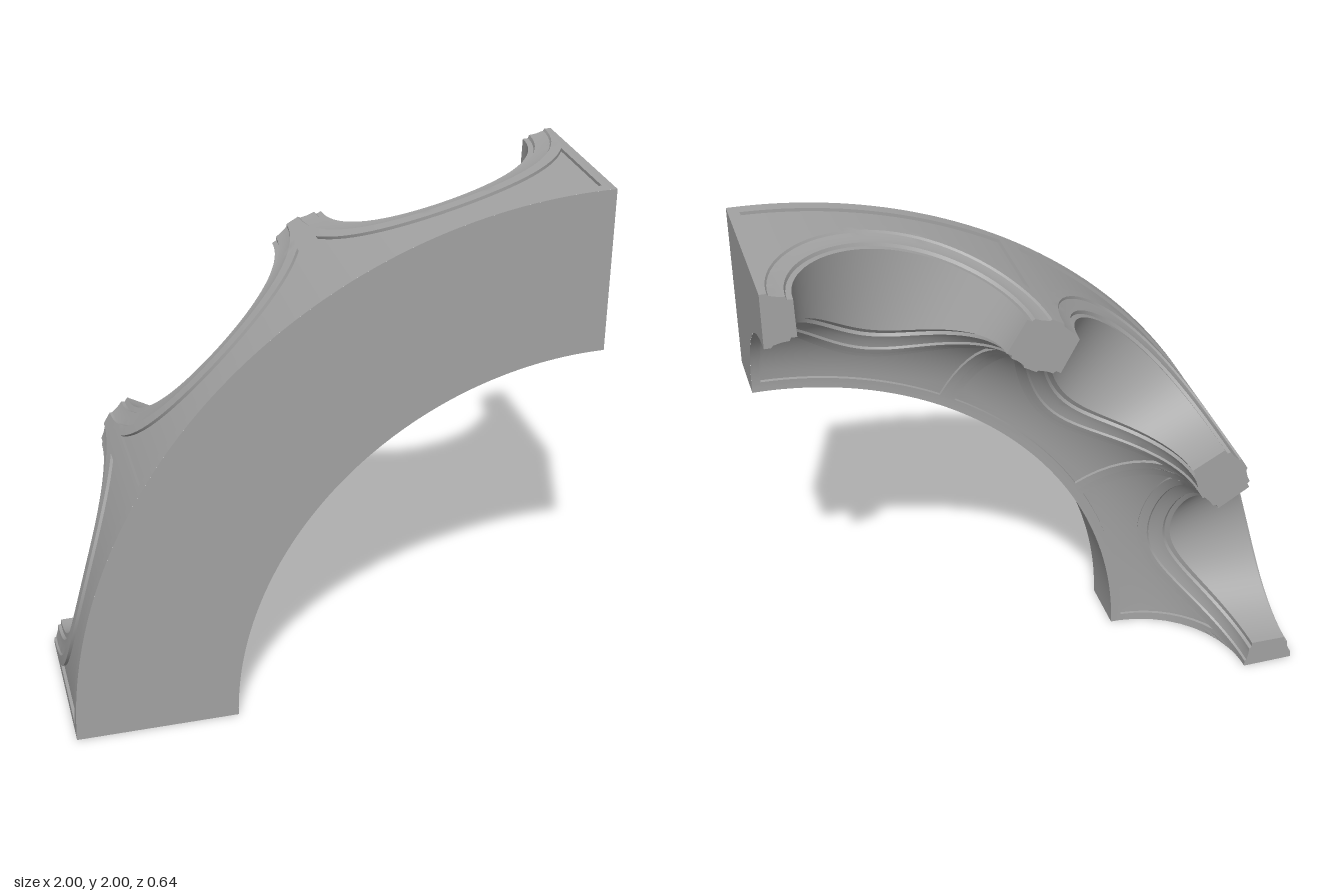
import * as THREE from 'three';
import { toCreasedNormals } from 'three/addons/utils/BufferGeometryUtils.js';

// Quarter-ring arcade: axis at x = 1, y = 0; three arched bays of 30 degrees
const R_OUT = 2, R_IN = 1.38, Z_BACK = -0.32, Z_FRONT = 0.32;
const VAULT = 0.42;              // radius of the vault on the inner side
const BAY = Math.PI / 12;        // half angle of one bay
const PIER = 0.11;               // half thickness of a pier
const RISE = 0.355;              // height of the arch opening
const RECESS = 0.012;
const N = 40;
// Arch moulding: distance from the opening, depth below the face
const MOULD = [[0, 0.03], [0.02, 0.03], [0.025, 0.018], [0.05, 0.016], [0.08, 0.008], [0.085, 0], [PIER, 0]];

const polar = (a, r, z) => [1 - r * Math.cos(a), r * Math.sin(a), z];
// Points on the outer wall and on the vault, sunk by depth
const outerPoint = (a, h, depth) => polar(a, R_OUT - depth, Z_BACK + h);
const vaultPoint = (a, s, depth) => {
  const f = s / VAULT, q = VAULT + depth;
  return polar(a, R_IN + q * Math.cos(f), Z_BACK + q * Math.sin(f));
};

// Height of the curve at distance d from the opening, for each side
const outerHeight = (sin, d) => (RISE + d) * sin;
const vaultHeight = (sin, d) => VAULT * Math.asin(RISE * sin / (VAULT + 0.03)) + d * sin;

const OUTER = { point: outerPoint, height: outerHeight, r: R_OUT, top: Z_FRONT - Z_BACK, panelTop: 0.595, flip: true };
const INNER = { point: vaultPoint, height: vaultHeight, r: 1.8, top: VAULT * Math.PI / 2, panelTop: 0.62, flip: false };

// Grid surface from f(i, j), with creased smooth normals
function grid(ni, nj, f, flip = false) {
  const pos = [];
  const same = (p, q) => Math.hypot(p[0] - q[0], p[1] - q[1], p[2] - q[2]) < 1e-6;
  const tri = (a, b, c) => {
    if (same(a, b) || same(b, c) || same(a, c)) return;
    pos.push(...a, ...(flip ? c : b), ...(flip ? b : c));
  };
  for (let i = 0; i < ni; i++) {
    for (let j = 0; j < nj; j++) {
      const a = f(i, j), b = f(i + 1, j), c = f(i + 1, j + 1), d = f(i, j + 1);
      tri(a, b, c);
      tri(a, c, d);
    }
  }
  const g = new THREE.BufferGeometry();
  g.setAttribute('position', new THREE.Float32BufferAttribute(pos, 3));
  g.computeVertexNormals();
  return toCreasedNormals(g, 0.45);
}

// Point on the arch moulding of one side
function archPoint(side, mid, t, d, depth) {
  const a = Math.cos(t) * (BAY - (PIER - d) / side.r);
  return side.point(mid + a, side.height(Math.sin(t), d), depth);
}

// Wall above an arch with a sunk spandrel panel
function spandrel(side, mid) {
  const limit = BAY - 0.04 / side.r, d1 = 0.125;
  const cols = [];
  for (let k = 0; k <= N; k++) {
    const a = -BAY * Math.cos(k * Math.PI / N);
    cols.push([a, Math.abs(a) < limit ? RECESS : 0]);
  }
  for (const s of [-1, 1]) cols.push([s * limit, 0], [s * limit, RECESS]);
  cols.sort((p, q) => p[0] - q[0] || (p[0] < 0 ? p[1] - q[1] : q[1] - p[1]));
  const curve = (a, d) => {
    const c = a / (BAY + (d - PIER) / side.r);
    return side.height(Math.sqrt(Math.max(0, 1 - c * c)), d);
  };
  // Rows are subdivided so that the vault stays round
  const steps = 8;
  return grid(cols.length - 1, 2 * 3 + 2 + steps * 2, (i, j) => {
    const [a, sunk] = cols[i];
    const h0 = curve(a, PIER), h1 = curve(a, d1), h2 = side.panelTop;
    const rows = [];
    for (let k = 0; k <= steps; k++) rows.push([h0 + (h1 - h0) * k / steps, 0]);
    for (let k = 0; k <= steps; k++) rows.push([h1 + (h2 - h1) * k / steps, sunk]);
    for (let k = 0; k <= 6; k++) rows.push([h2 + (side.top - h2) * k / 6, 0]);
    return side.point(mid + a, ...rows[j]);
  }, side.flip);
}

export function createModel() {
  const group = new THREE.Group();
  const stone = new THREE.MeshStandardMaterial({ color: 0xa3a3a3 });
  stone.name = 'stone';
  const add = (name, geometry, parent = group) => {
    const mesh = new THREE.Mesh(geometry, stone);
    mesh.name = name;
    parent.add(mesh);
  };

  for (let b = 0; b < 3; b++) {
    const mid = BAY * (2 * b + 1);
    const bay = new THREE.Group();
    bay.name = 'bay' + (b + 1);
    group.add(bay);
    const angle = i => Math.PI * (1 - i / N);

    for (const [name, side] of [['outer', OUTER], ['vault', INNER]]) {
      add(name + 'Spandrel', spandrel(side, mid), bay);
      add(name + 'ArchMoulding', grid(N, MOULD.length - 1,
        (i, j) => archPoint(side, mid, angle(i), ...MOULD[j]), side.flip), bay);
    }

    // Underside of the arch, between the two mouldings
    add('archSoffit', grid(N, 1,
      (i, j) => archPoint(j ? INNER : OUTER, mid, angle(i), ...MOULD[0])), bay);

    // Half pier feet on both sides of the opening
    for (const t of [0, Math.PI]) {
      add('pierFoot', grid(MOULD.length - 1, 1,
        (i, j) => archPoint(j ? INNER : OUTER, mid, t, ...MOULD[i]), t > 0), bay);
    }
  }

  // Flat front ring and the inner wall
  const M = 72, sweep = i => (i / M) * Math.PI / 2;
  add('frontFace', grid(M, 1, (i, j) => polar(sweep(i), j ? R_OUT : R_IN, Z_FRONT)));
  add('innerWall', grid(M, 1, (i, j) => polar(sweep(i), R_IN, j ? Z_FRONT : Z_BACK + VAULT)));

  // Flat ends, following the vault profile
  for (const a of [0, Math.PI / 2]) {
    add('endFace', grid(25, 1, (i, j) => {
      const f = Math.min(i, 24) / 24 * Math.PI / 2;
      const z = i > 24 ? Z_FRONT : Z_BACK + VAULT * Math.sin(f);
      return polar(a, j ? R_OUT : R_IN + VAULT * Math.cos(f), z);
    }, a > 0));
  }
  return group;
}
